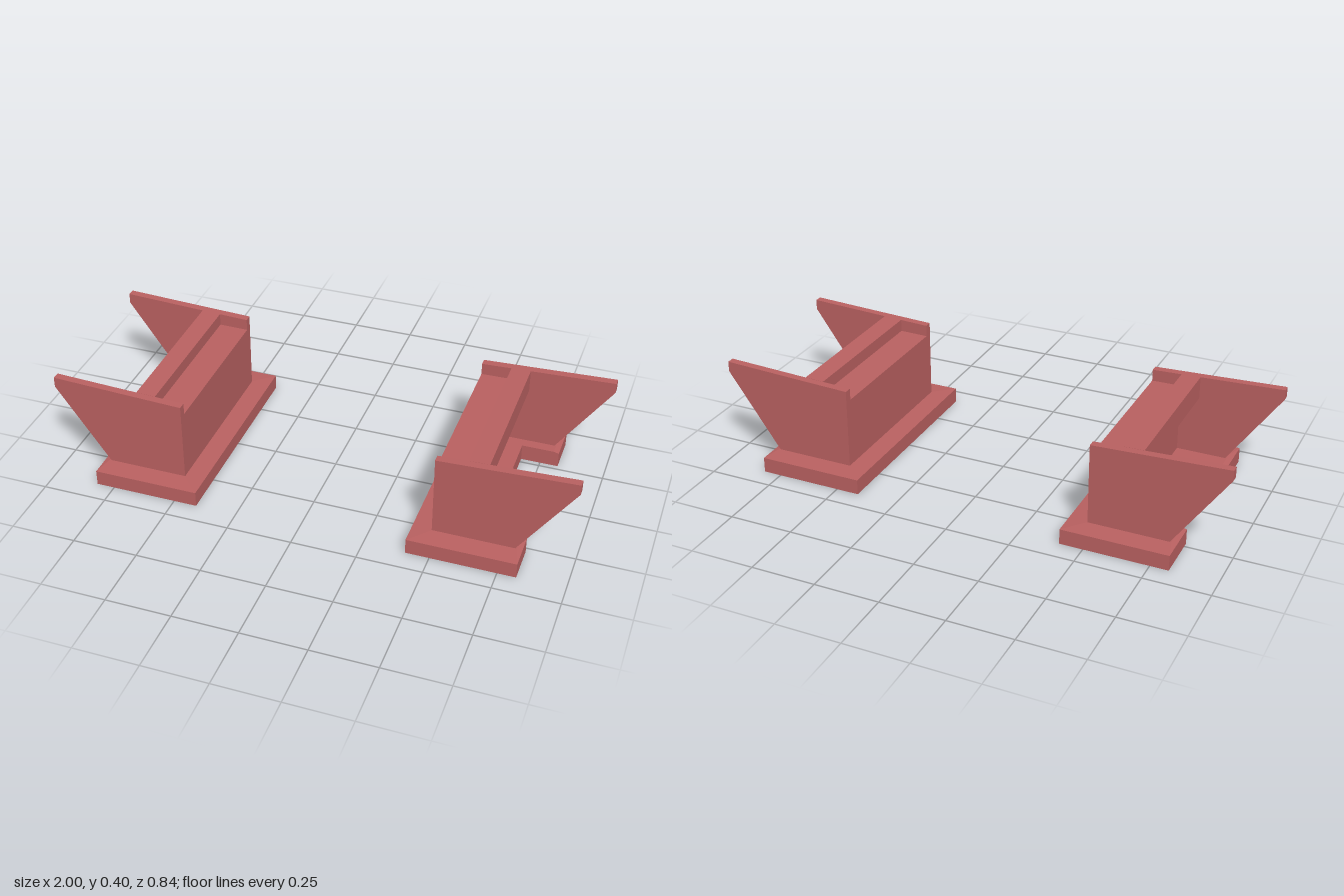
import * as THREE from 'three';

const material = new THREE.MeshStandardMaterial({ color: 0xb86060, flatShading: true });

// Extrude an outline; side (+1 / -1) mirrors it across x = 0
function prism(points, side, depth) {
  const shape = new THREE.Shape(points.map(([x, y]) => new THREE.Vector2(side * x, y)));
  return new THREE.ExtrudeGeometry(shape, { depth, bevelEnabled: false });
}

function add(group, name, geometry) {
  const mesh = new THREE.Mesh(geometry, material);
  mesh.name = name;
  group.add(mesh);
}

function createAbutment(name, side, notch) {
  const group = new THREE.Group();
  group.name = name;

  // U-shaped footing slab
  const plan = [
    [0.41, -0.418], [0.82, -0.418], [0.82, -notch], [0.675, -notch],
    [0.675, notch], [0.82, notch], [0.82, 0.418], [0.41, 0.418],
  ];
  add(group, 'footing', prism(plan, side, 0.06).rotateX(-Math.PI / 2));

  // Shallow weathered top, rising from the slab edge to the walls
  const slope = prism(plan, side, 0.005).rotateX(-Math.PI / 2).translate(0, 0.06, 0);
  const p = slope.attributes.position;
  for (let i = 0; i < p.count; i++) {
    if (p.getY(i) < 0.0625) continue;
    p.setX(i, side * THREE.MathUtils.clamp(Math.abs(p.getX(i)), 0.485, 0.8));
    p.setZ(i, THREE.MathUtils.clamp(p.getZ(i), -0.34, 0.34));
  }
  slope.computeVertexNormals();
  add(group, 'footingSlope', slope);

  // Stem with bearing seat, back wall and sloped corbel
  const stem = [
    [0.485, 0.06], [0.6, 0.06], [0.6, 0.257], [0.675, 0.298],
    [0.675, 0.387], [0.6, 0.384], [0.6, 0.335], [0.485, 0.333],
  ];
  add(group, 'stem', prism(stem, side, 0.62).translate(0, 0, -0.31));

  // Tapered wing walls at both ends
  const wing = [
    [0.485, 0.06], [0.79, 0.06], [1, 0.36], [1, 0.4],
    [0.69, 0.387], [0.485, 0.379],
  ];
  for (const z of [-0.34, 0.31]) {
    add(group, z > 0 ? 'frontWingWall' : 'backWingWall', prism(wing, side, 0.03).translate(0, 0, z));
  }
  return group;
}

export function createModel() {
  const model = new THREE.Group();
  model.name = 'bridgeAbutments';
  model.add(createAbutment('leftAbutment', 1, 0.27));
  model.add(createAbutment('rightAbutment', -1, 0.23));
  return model;
}
